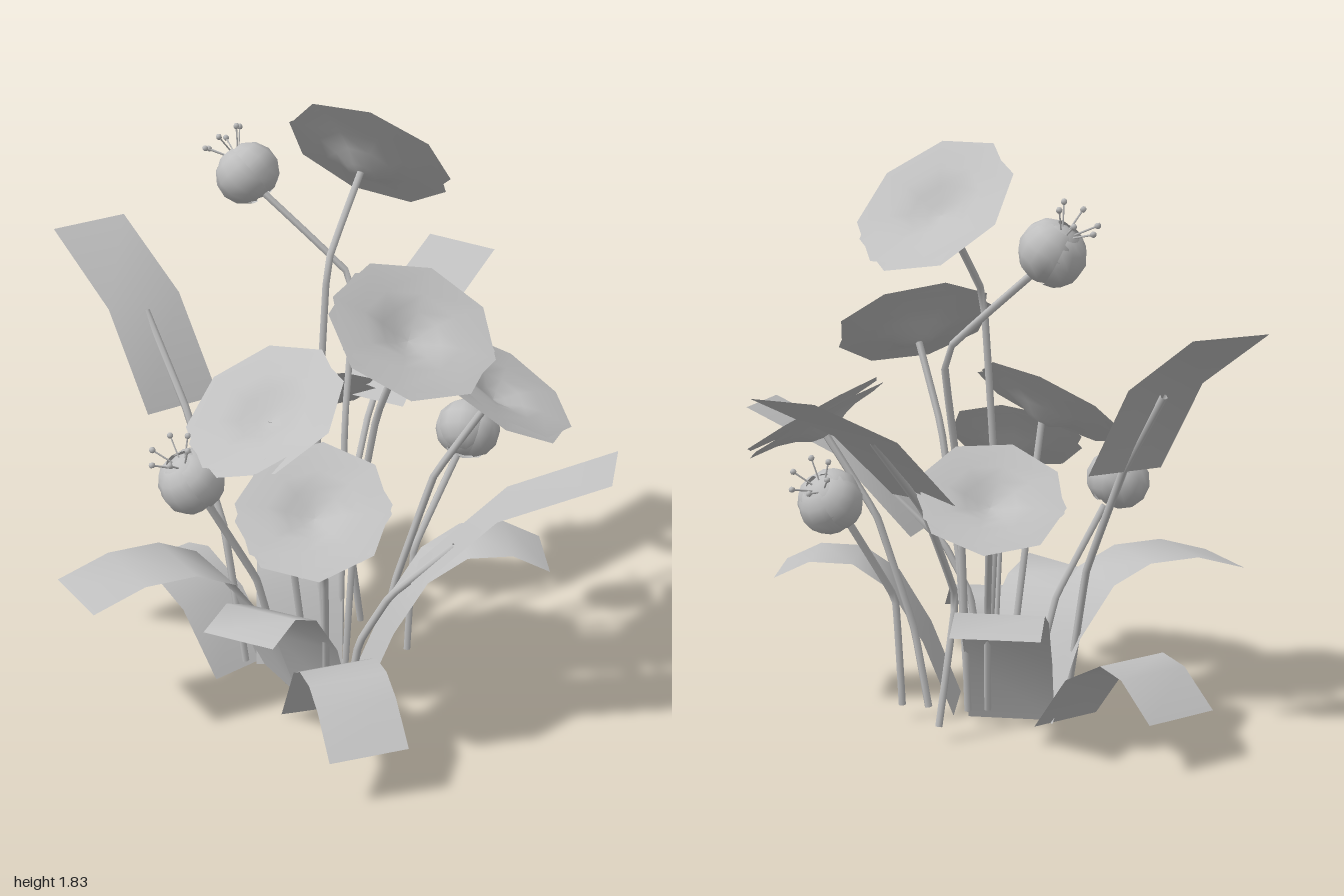
import * as THREE from 'three';

const UP = new THREE.Vector3(0, 1, 0);
const clay = new THREE.MeshStandardMaterial({ color: 0xc0c0c0, side: THREE.DoubleSide });
clay.name = 'pale grey';

function part(name, geometry, parent) {
  const mesh = new THREE.Mesh(geometry, clay);
  mesh.name = name;
  parent.add(mesh);
  return mesh;
}

// Group whose local y axis points along dir
function aimed(name, pos, dir, parent) {
  const g = new THREE.Group();
  g.name = name;
  g.position.set(...pos);
  g.quaternion.setFromUnitVectors(UP, new THREE.Vector3(...dir).normalize());
  parent.add(g);
  return g;
}

// Thin stalk with fairly sharp bends through a few points
function stem(name, points, parent) {
  const curve = new THREE.CatmullRomCurve3(points.map(p => new THREE.Vector3(...p)), false, 'catmullrom', 0.08);
  part(name, new THREE.TubeGeometry(curve, 18, 0.012, 6), parent);
}

// Flat strip of constant width following a centre line, with a slight sideways roll
function strip(name, points, width, roll, parent) {
  const a = points[0], b = points[points.length - 1];
  const side = new THREE.Vector3(b[2] - a[2], 0, a[0] - b[0]).setLength(width / 2);
  const pos = [], index = [];
  points.forEach(([x, y, z], i) => {
    const dy = i ? roll : 0;
    pos.push(x - side.x, y - dy, z - side.z, x + side.x, y + dy, z + side.z);
    if (i) {
      const k = 2 * i;
      index.push(k - 2, k - 1, k, k - 1, k + 1, k);
    }
  });
  const g = new THREE.BufferGeometry();
  g.setAttribute('position', new THREE.Float32BufferAttribute(pos, 3));
  g.setIndex(index);
  g.computeVertexNormals();
  part(name, g, parent);
}

// Two stacked eight-sided dishes with a hollow centre
function flower(pos, normal, radius, parent) {
  const g = aimed('flowerHead', pos, normal, parent);
  const profile = [[0, -0.24], [0.18, -0.21], [0.36, -0.11], [0.6, -0.04], [1, 0]]
    .map(([r, h]) => new THREE.Vector2(r * radius, h * radius));
  const dish = new THREE.LatheGeometry(profile, 8);
  part('upperPetals', dish, g).rotation.y = Math.PI / 8;
  const lower = part('lowerPetals', dish, g);
  lower.rotation.y = Math.PI / 8 + 0.2;
  lower.position.y = -0.022;
}

// Closed bud of overlapping shell petals with stamens on top
function bud(pos, axis, parent) {
  const g = aimed('bud', pos, axis, parent);
  part('budCore', new THREE.SphereGeometry(0.088, 8, 6), g);
  for (let i = 0; i < 4; i++) {
    const turn = new THREE.Group();
    turn.name = 'budPetalTurn';
    turn.rotation.y = i * Math.PI / 2;
    g.add(turn);
    // Each shell is centred on its own +x side and leans over its neighbour
    const petal = part('budPetal', new THREE.SphereGeometry(0.09, 4, 5, Math.PI - 1.05, 2.1, 0.4, 2.5), turn);
    petal.position.x = 0.016;
    petal.rotation.set(0.12, 0.14, 0.05);
  }
  for (let i = 0; i < 6; i++) {
    const a = i * Math.PI / 3;
    const s = aimed('stamen', [0, 0.05, 0], [0.8 * Math.cos(a), 1, 0.8 * Math.sin(a)], g);
    part('filament', new THREE.CylinderGeometry(0.003, 0.003, 0.11, 4), s).position.y = 0.055;
    part('anther', new THREE.SphereGeometry(0.01, 6, 4), s).position.y = 0.11;
  }
}

export function createModel() {
  const model = new THREE.Group();
  model.name = 'floweringPlant';

  // Open flowers: centre, facing, radius, stalk from the ground up
  const flowers = [
    [[0, 1.66, -0.145], [0, 0.7, -0.7], 0.258, [[0, 0.05, 0.12], [-0.02, 0.7, 0.14], [-0.015, 1.36, 0.08], [0.005, 1.61, -0.08]]],
    [[0.325, 1.245, 0.15], [0.5, 0.83, 0.26], 0.255, [[0.06, 0.05, 0.1], [0.08, 0.5, 0.08], [0.17, 0.92, 0.1], [0.29, 1.19, 0.13]]],
    [[0.44, 0.975, -0.205], [0.49, 0.85, -0.17], 0.247, [[0.1, 0.05, -0.05], [0.15, 0.3, -0.06], [0.25, 0.66, -0.12], [0.405, 0.92, -0.19]]],
    [[-0.055, 0.995, 0.38], [-0.13, 0.82, 0.53], 0.253, [[-0.02, 0.05, 0.2], [-0.04, 0.6, 0.28], [-0.045, 0.945, 0.345]]],
    [[0.245, 0.82, 0.585], [0.22, 0.81, 0.52], 0.226, [[0.1, 0.05, 0.28], [0.17, 0.5, 0.4], [0.23, 0.77, 0.555]]],
    [[-0.27, 0.815, -0.2], [-0.38, 0.83, -0.4], 0.225, [[-0.06, 0.05, 0.05], [-0.13, 0.42, -0.04], [-0.25, 0.77, -0.18]]],
  ];
  for (const [pos, normal, radius, path] of flowers) {
    flower(pos, normal, radius, model);
    stem('flowerStem', path, model);
  }

  // Buds: centre, axis, stalk
  const buds = [
    [[-0.425, 1.535, -0.115], [-0.62, 0.75, 0.05], [[-0.02, 0.05, 0], [-0.05, 0.8, -0.08], [-0.09, 1.22, -0.2], [-0.37, 1.48, -0.12]]],
    [[-0.255, 0.75, 0.47], [-0.2, 0.8, 0.45], [[-0.1, 0.05, 0.22], [-0.14, 0.38, 0.3], [-0.235, 0.67, 0.425]]],
    [[0.255, 0.745, -0.33], [-0.05, 0.68, -0.68], [[0.18, 0.05, -0.085], [0.19, 0.4, -0.105], [0.255, 0.68, -0.26]]],
  ];
  for (const [pos, axis, path] of buds) {
    bud(pos, axis, model);
    stem('budStem', path, model);
  }

  // Tall blades: centre line, width, roll, and the stalk that carries them
  const blades = [
    [[[-0.48, 0.85, 0.185], [-0.67, 1.14, 0.115], [-0.96, 1.325, 0.005]], 0.265, 0,
      [[-0.22, 0.05, 0.25], [-0.3, 0.5, 0.24], [-0.47, 0.85, 0.19], [-0.66, 1.11, 0.12]]],
    [[[0.41, 0.52, 0.295], [0.65, 0.78, 0.2], [0.95, 0.92, 0.09]], 0.255, 0,
      [[0.23, 0.05, 0.38], [0.27, 0.3, 0.37], [0.36, 0.47, 0.34], [0.53, 0.64, 0.26]]],
    [[[-0.083, 0.79, -0.29], [-0.077, 1.01, -0.54], [-0.067, 1.165, -0.872]], 0.25, 0.006,
      [[-0.05, 0.05, -0.18], [-0.06, 0.45, -0.11], [-0.08, 0.75, -0.28], [-0.09, 1.0, -0.52]]],
  ];
  for (const [line, width, roll, path] of blades) {
    strip('tallLeaf', line, width, roll, model);
    stem('leafStem', path, model);
  }

  // Arching ground leaves: base, tip (x, z), width, roll and [fraction, height] along the way
  const leaves = [
    [[-0.12, 0.22], [-0.45, 0.805], 0.27, 0, [[0, 0.01], [0.14, 0.28], [0.31, 0.44], [0.5, 0.5], [0.75, 0.505], [1, 0.455]]],
    [[-0.24, 0.22], [-0.77, 0.08], 0.25, 0, [[0, 0.01], [0.28, 0.2], [0.58, 0.285], [0.76, 0.265], [1, 0.16]]],
    [[0.095, 0.32], [0.505, 0.705], 0.235, 0.006, [[0, 0], [0.28, 0.235], [0.41, 0.275], [0.6, 0.285], [0.77, 0.25], [1, 0.155]]],
    [[0.045, 0.24], [0.03, 0.66], 0.25, 0.008, [[0, 0], [0.19, 0.22], [0.46, 0.37], [0.72, 0.42], [1, 0.375]]],
    [[0.13, 0.13], [0.605, -0.19], 0.255, 0, [[0, 0.01], [0.17, 0.25], [0.35, 0.42], [0.56, 0.5], [0.8, 0.505], [1, 0.45]]],
    [[-0.1, 0.12], [-0.3, -0.22], 0.275, 0, [[0, 0.01], [0.19, 0.22], [0.46, 0.38], [0.72, 0.43], [1, 0.38]]],
  ];
  for (const [base, tip, width, roll, arch] of leaves) {
    const line = arch.map(([t, h]) => [base[0] + (tip[0] - base[0]) * t, h, base[1] + (tip[1] - base[1]) * t]);
    strip('groundLeaf', line, width, roll, model);
  }
  return model;
}
